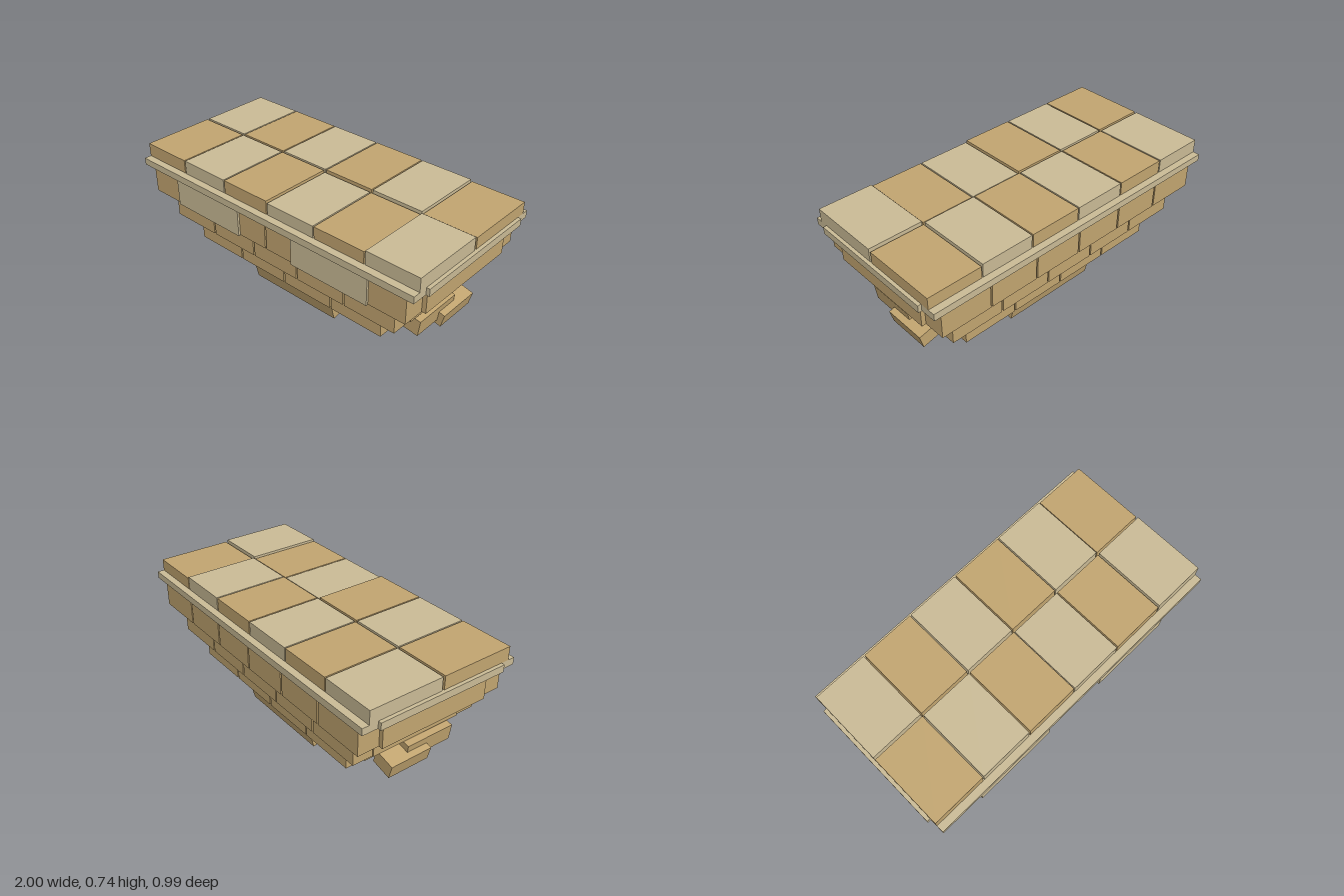
import * as THREE from 'three';

export function createModel() {
  const model = new THREE.Group();
  const tan = new THREE.MeshStandardMaterial({ color: 0xc2a570 });
  tan.name = 'tan stone';
  const pale = new THREE.MeshStandardMaterial({ color: 0xcabb96 });
  pale.name = 'pale stone';

  // Box given by its limits on each axis
  function block(name, mat, x0, x1, y0, y1, z0, z1, parent = model) {
    const mesh = new THREE.Mesh(new THREE.BoxGeometry(x1 - x0, y1 - y0, z1 - z0), mat);
    mesh.position.set((x0 + x1) / 2, (y0 + y1) / 2, (z0 + z1) / 2);
    mesh.name = name;
    parent.add(mesh);
    return mesh;
  }

  // Box hung from a pivot, then turned about x or z
  function tilted(name, size, offset, pivot, axis, angle) {
    const geo = new THREE.BoxGeometry(...size).translate(...offset);
    const mesh = new THREE.Mesh(geo, tan);
    mesh.position.set(...pivot);
    mesh.rotation[axis] = angle;
    mesh.name = name;
    model.add(mesh);
  }

  // Paving tiles in a checker pattern, a few slightly lower
  const tops = [
    [0.735, 0.735, 0.735, 0.735, 0.735, 0.725],
    [0.735, 0.735, 0.735, 0.725, 0.725, 0.735],
  ];
  for (let row = 0; row < 2; row++) {
    for (let i = 0; i < 6; i++) {
      const x = -0.82 + i * 0.328;
      const z = row ? 0.228 : -0.23;
      block('pavingTile', (i + row) % 2 ? tan : pale,
        x - 0.16, x + 0.16, 0.655, tops[row][i], z - 0.222, z + 0.222);
    }
  }

  // Rim under the tiles
  for (const s of [-1, 1]) {
    const side = s > 0 ? [0.88, 1] : [-1, -0.88];
    const face = s > 0 ? [0.37, 0.493] : [-0.493, -0.37];
    block('rimEnd', pale, ...side, 0.613, 0.656, -0.4, 0.4);
    block('rimLong', pale, -0.98, 0.98, 0.614, 0.655, ...face);
  }

  // Stepped brick courses, narrowing downwards
  const courses = [
    { n: 6, y0: 0.449, y1: 0.613, x: 0.925, z: 0.468, endX: 0.95, endZ: 0.34 },
    { n: 5, y0: 0.297, y1: 0.449, x: 0.822, z: 0.408, endX: 0.83, endZ: 0.285 },
    { n: 4, y0: 0.156, y1: 0.297, x: 0.69, z: 0.341, endX: 0.70, endZ: 0.228 },
  ];
  courses.forEach((c, level) => {
    const course = new THREE.Group();
    course.name = 'brickCourse' + (level + 1);
    model.add(course);
    const pitch = 2 * c.x / c.n;
    for (const s of [-1, 1]) {
      const zs = s > 0 ? [c.z - 0.17, c.z] : [-c.z, -c.z + 0.17];
      for (let i = 0; i < c.n; i++) {
        const x0 = -c.x + i * pitch;
        block('brick', tan, x0 + (i ? 0.005 : 0), x0 + pitch - (i < c.n - 1 ? 0.005 : 0),
          c.y0, c.y1, ...zs, course);
      }
      const xs = s > 0 ? [c.endX - 0.3, c.endX] : [-c.endX, -c.endX + 0.3];
      block('endBrick', tan, ...xs, c.y0, c.y1, -c.endZ, c.endZ, course);
    }
  });

  // Pale bricks standing proud of the front
  block('paleFrontBrick', pale, -0.705, -0.2, 0.446, 0.612, 0.4, 0.48);
  block('paleFrontBrick', pale, 0.195, 0.7, 0.446, 0.612, 0.4, 0.48);

  // Base block
  block('baseCentre', tan, -0.2, 0.2, 0, 0.14, -0.21, 0.21);

  for (const s of [-1, 1]) {
    // Base wings, rising outwards
    tilted('baseWing', [0.36, 0.123, 0.36], [-s * 0.18, 0.0615, 0],
      [s * 0.546, 0.036, 0], 'z', s * 0.1);
    // Leaning planks along the front and back of the base
    tilted('basePlank', [0.605, 0.108, 0.11], [0, 0.054, -s * 0.055],
      [0, 0.01, s * 0.259], 'x', s * 0.24);
    // Loose bricks sagging from each end
    tilted('looseBrickUpper', [0.25, 0.098, 0.305], [-s * 0.125, -0.049, 0],
      [s * 0.855, 0.275, 0.078], 'z', -s * 0.14);
    tilted('looseBrickLower', [0.125, 0.083, 0.265], [-s * 0.0625, -0.0415, 0],
      [s * 0.885, 0.225, -0.075], 'z', -s * 0.25);
  }

  return model;
}
